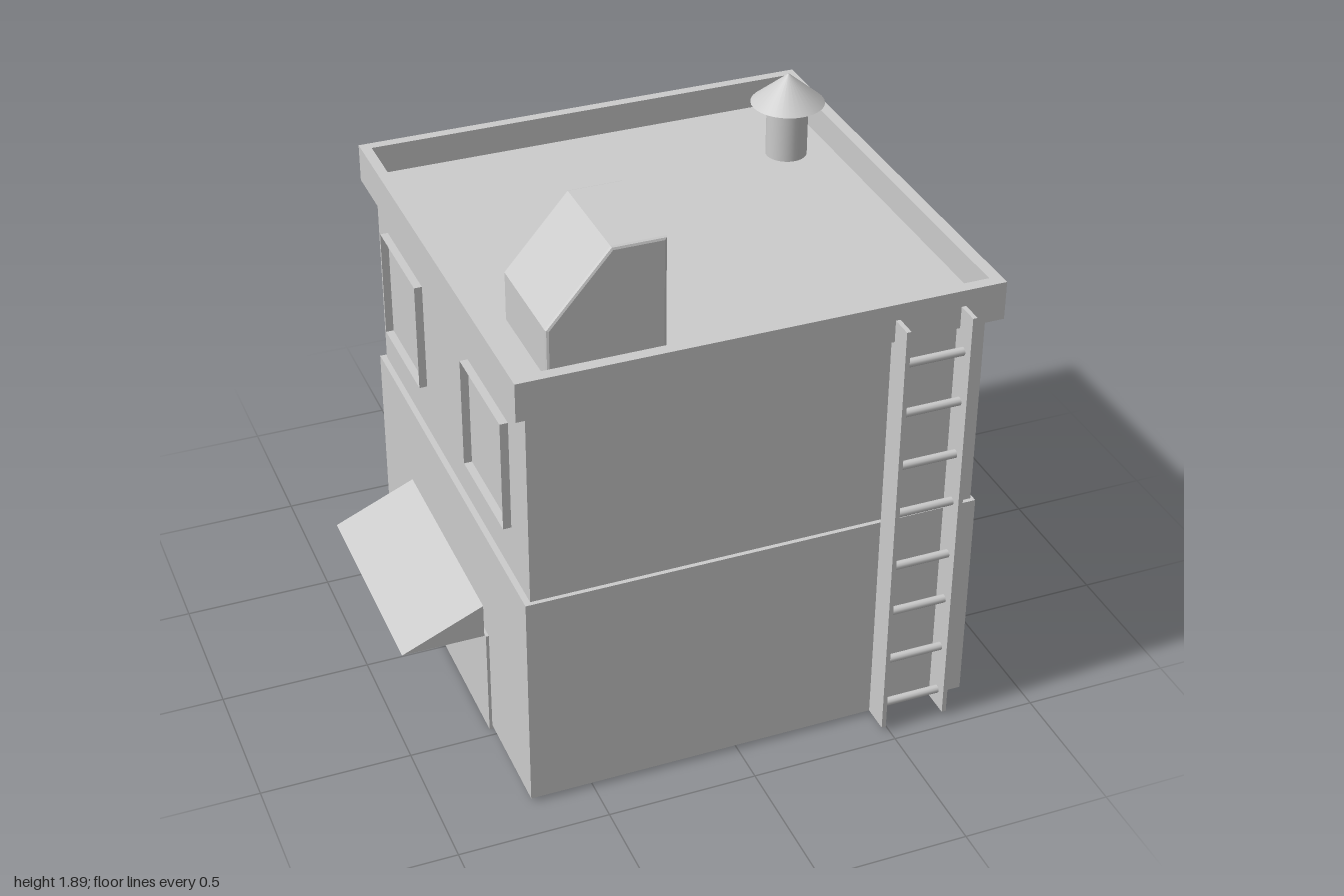
import * as THREE from 'three';
import { RoundedBoxGeometry } from 'three/addons/geometries/RoundedBoxGeometry.js';

const solid = new THREE.MeshStandardMaterial({ color: 0xcccccc });
const thin = new THREE.MeshStandardMaterial({ color: 0xcccccc, side: THREE.DoubleSide });

export function createModel() {
  const model = new THREE.Group();
  model.name = 'building';

  const add = (name, geometry, material = solid) => {
    const mesh = new THREE.Mesh(geometry, material);
    mesh.name = name;
    model.add(mesh);
    return mesh;
  };

  // Box given by its limits along each axis
  const box = (name, x0, x1, y0, y1, z0, z1) => {
    const g = new THREE.BoxGeometry(x1 - x0, y1 - y0, z1 - z0);
    g.translate((x0 + x1) / 2, (y0 + y1) / 2, (z0 + z1) / 2);
    return add(name, g);
  };

  // Box without one face (order: +x, -x, +y, -y, +z, -z)
  const openBox = (w, h, d, missing) => {
    const g = new THREE.BoxGeometry(w, h, d);
    const index = Array.from(g.index.array);
    index.splice(missing * 6, 6);
    g.setIndex(index);
    g.clearGroups();
    return g;
  };

  // Storeys: the lower one is a hollow shell, open below
  add('lowerWalls', openBox(1.52, 0.765, 1.53, 3), thin).position.set(0.05, 0.3975, 0.09);
  box('upperWalls', -0.69, 0.80, 0.78, 1.47, -0.66, 0.84);

  // Flat roof with a raised rim
  const rim = new THREE.Shape([
    new THREE.Vector2(-0.73, -0.875), new THREE.Vector2(0.845, -0.875),
    new THREE.Vector2(0.845, 0.705), new THREE.Vector2(-0.73, 0.705)
  ]);
  rim.holes.push(new THREE.Path([
    new THREE.Vector2(-0.695, -0.835), new THREE.Vector2(-0.695, 0.67),
    new THREE.Vector2(0.805, 0.67), new THREE.Vector2(0.805, -0.835)
  ]));
  const rimGeometry = new THREE.ExtrudeGeometry(rim, { depth: 0.13, bevelEnabled: false });
  rimGeometry.rotateX(-Math.PI / 2).translate(0, 1.46, 0);
  add('parapet', rimGeometry);
  box('roofDeck', -0.695, 0.805, 1.46, 1.49, -0.67, 0.835);

  // Stair hut with a sloping back and a door
  const hut = new THREE.Shape([
    new THREE.Vector2(-0.575, 1.49), new THREE.Vector2(-0.215, 1.49),
    new THREE.Vector2(-0.215, 1.88), new THREE.Vector2(-0.375, 1.88),
    new THREE.Vector2(-0.575, 1.65)
  ]);
  const hutGeometry = new THREE.ExtrudeGeometry(hut, {
    depth: 0.355, bevelThickness: 0.01, bevelSize: 0.01, bevelSegments: 2
  });
  hutGeometry.translate(0, 0, 0.37);
  add('stairHut', hutGeometry);
  box('stairHutDoor', -0.22, -0.20, 1.49, 1.77, 0.47, 0.64);

  // Roof vent with a conical cap
  const pipe = add('ventPipe', new THREE.CylinderGeometry(0.07, 0.07, 0.19, 32));
  pipe.position.set(0.65, 1.58, -0.316);
  const cone = add('ventCap', new THREE.ConeGeometry(0.125, 0.105, 32, 1, true));
  cone.position.set(0.65, 1.7325, -0.316);
  const soffit = add('ventCapUnderside', new THREE.CylinderGeometry(0.125, 0.07, 0.016, 32));
  soffit.position.set(0.65, 1.672, -0.316);

  // Windows: shallow trays open to the outside
  const windows = [
    [0.825, 0.41, Math.PI / 2],
    [-0.7025, -0.36, -Math.PI / 2], [-0.7025, 0.49, -Math.PI / 2],
    [0.44, -0.667, Math.PI], [-0.33, -0.667, Math.PI]
  ];
  for (const [x, z, turn] of windows) {
    const frame = add('window', openBox(0.38, 0.38, 0.028, 4), thin);
    frame.position.set(x, 1.14, z);
    frame.rotation.y = turn;
  }

  // Air conditioner on the side wall
  const unit = add('airConditioner', new RoundedBoxGeometry(0.2, 0.28, 0.475, 3, 0.018));
  unit.position.set(0.9, 1.17, -0.363);

  // Shop doors and their awnings, open underneath
  box('backDoor', -0.32, 0.44, 0, 0.385, -0.685, -0.67);
  box('sideDoor', -0.72, -0.705, 0, 0.385, -0.295, 0.47);

  const awning = (name, width, depth, x, z, turn) => {
    const w = width / 2;
    const a = [-w, 0, 0], b = [-w, 0.12, 0], c = [-w, 0, depth];
    const d = [w, 0, 0], e = [w, 0.12, 0], f = [w, 0, depth];
    const corners = [b, c, f, b, f, e, a, c, b, d, e, f, a, b, e, a, e, d].flat();
    const g = new THREE.BufferGeometry();
    g.setAttribute('position', new THREE.Float32BufferAttribute(corners, 3));
    g.computeVertexNormals();
    const mesh = add(name, g, thin);
    mesh.position.set(x, 0.39, z);
    mesh.rotation.y = turn;
  };
  awning('backAwning', 0.76, 0.275, 0.055, -0.68, Math.PI);
  awning('sideAwning', 0.76, 0.275, -0.725, 0.09, -Math.PI / 2);

  // Ladder up the front
  for (const x of [0.475, 0.695]) box('ladderRail', x, x + 0.015, 0.015, 1.535, 0.855, 0.95);
  for (const y of [0.08, 0.26, 0.455, 0.635, 0.84, 1.02, 1.215, 1.395]) {
    const rung = add('ladderRung', new THREE.CylinderGeometry(0.014, 0.014, 0.21, 12));
    rung.rotation.z = Math.PI / 2;
    rung.position.set(0.5925, y, 0.905);
  }

  return model;
}
